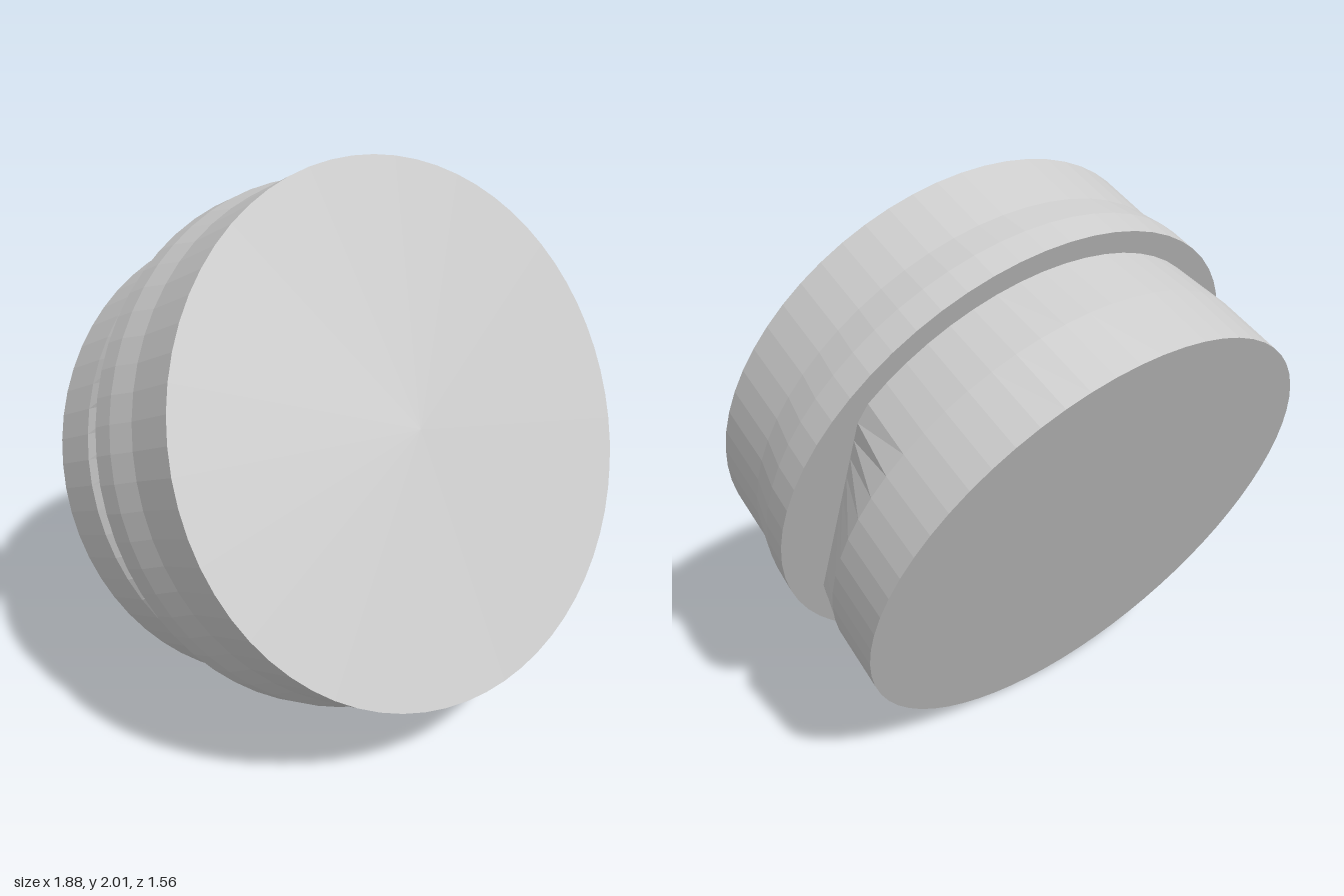
import * as THREE from 'three';

const SEGMENTS = 64;
const material = new THREE.MeshStandardMaterial({ color: 0xcccccc, flatShading: true });

// Solid of revolution from [radius, height] pairs, listed from back to front
function turned(name, profile) {
  const points = profile.map(([r, h]) => new THREE.Vector2(r, h));
  const mesh = new THREE.Mesh(new THREE.LatheGeometry(points, SEGMENTS), material);
  mesh.name = name;
  return mesh;
}

export function createModel() {
  const model = new THREE.Group();
  model.name = 'tiltedPlug';

  // Wide front disc, flaring slightly toward its rear rim
  const head = turned('head', [
    [0, -0.455], [0.938, -0.455], [0.935, -0.35], [0.912, -0.235], [0.911, 0], [0, 0],
  ]);

  // Narrower rear drum, pinched toward the head
  const drum = turned('rearDrum', [
    [0, -0.918], [0.878, -0.918], [0.876, -0.68], [0.856, -0.455],
  ]);

  // Flatten both sides of the drum where it meets the head
  const position = drum.geometry.attributes.position;
  for (let i = 0; i < position.count; i++) {
    if (position.getY(i) < -0.6) continue;
    position.setX(i, THREE.MathUtils.clamp(position.getX(i), -0.735, 0.735));
  }
  drum.geometry.computeVertexNormals();

  // The axis points forward and up
  model.add(head, drum);
  const tilted = new THREE.Group();
  tilted.name = 'plug';
  model.rotation.x = Math.acos(0.4);
  model.position.set(0, 1.168, 0.418);
  tilted.add(model);
  return tilted;
}
